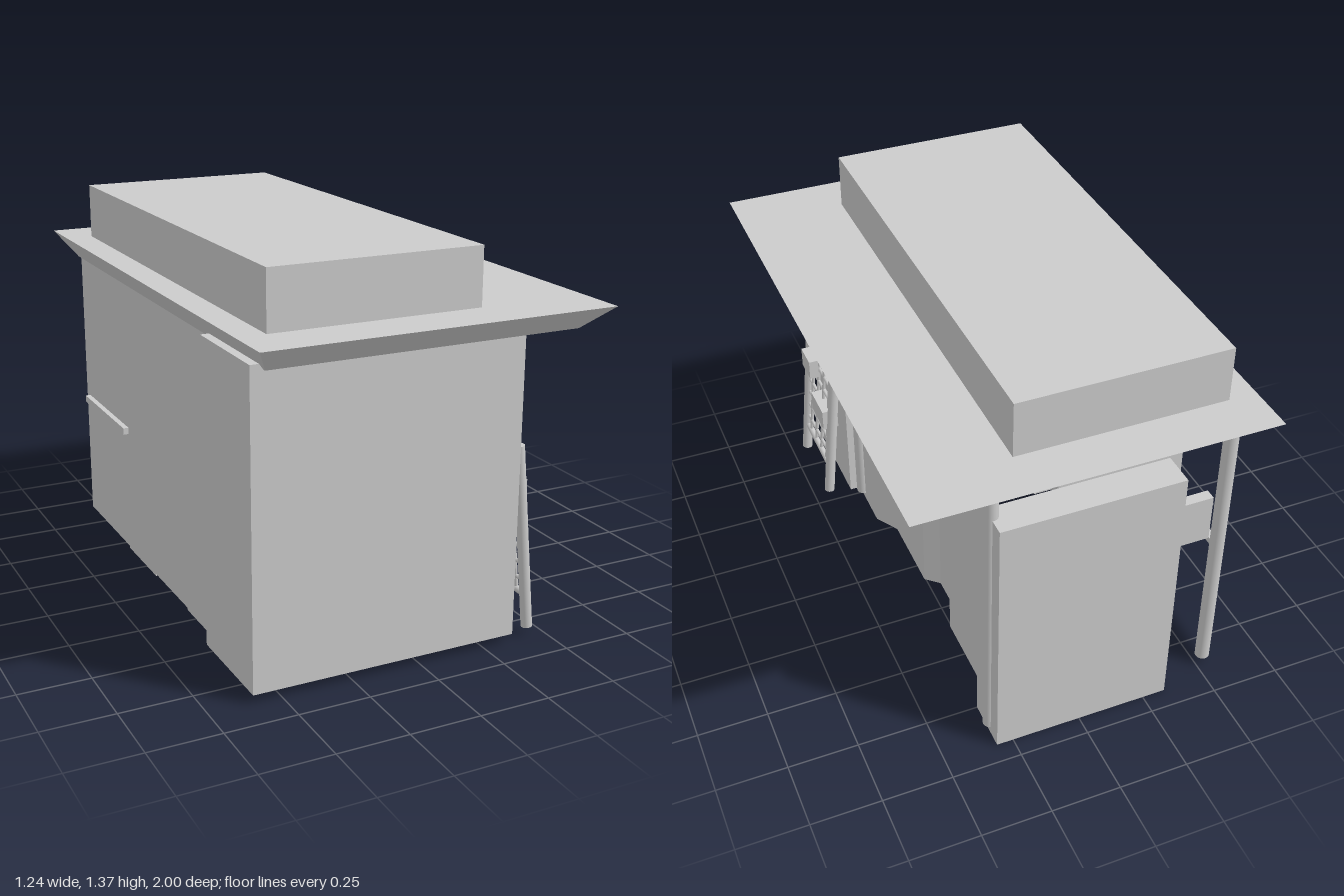
import * as THREE from 'three';

const mat = new THREE.MeshStandardMaterial({ color: 0xcccccc, flatShading: true });
const smooth = new THREE.MeshStandardMaterial({ color: 0xcccccc });

export function createModel() {
  const group = new THREE.Group();

  const add = (name, geometry, material = mat) => {
    const mesh = new THREE.Mesh(geometry, material);
    mesh.name = name;
    group.add(mesh);
    return mesh;
  };
  // Box given by its extents on each axis
  const box = (name, x0, x1, y0, y1, z0, z1) =>
    add(name, new THREE.BoxGeometry(x1 - x0, y1 - y0, z1 - z0)
      .translate((x0 + x1) / 2, (y0 + y1) / 2, (z0 + z1) / 2));
  // Round bar between two points
  const rod = (name, a, b, r, sides = 16) => {
    const from = new THREE.Vector3(...a), to = new THREE.Vector3(...b);
    const dir = to.clone().sub(from);
    const mesh = add(name, new THREE.CylinderGeometry(r, r, dir.length(), sides), smooth);
    mesh.position.copy(from).add(to).multiplyScalar(0.5);
    mesh.quaternion.setFromUnitVectors(new THREE.Vector3(0, 1, 0), dir.normalize());
    return mesh;
  };
  const outline = (points) => new THREE.Shape(points.map(p => new THREE.Vector2(...p)));

  // Roof: slab with its underside drawn in, and the box on top
  const roof = new THREE.BoxGeometry(1.24, 0.09, 2).translate(0, 1.125, 0);
  const pos = roof.attributes.position;
  for (let i = 0; i < pos.count; i++) {
    if (pos.getY(i) < 1.12) {
      pos.setX(i, Math.sign(pos.getX(i)) * 0.555);
      pos.setZ(i, Math.sign(pos.getZ(i)) * 0.89);
    }
  }
  roof.computeVertexNormals();
  add('roof', roof);
  box('roofBox', -0.52, 0.225, 1.17, 1.37, -0.825, 0.825);
  box('eavePanel', 0.39, 0.52, 1.07, 1.085, -0.83, 0.81);

  // Front block and back slab
  box('frontBlock', -0.6, 0.36, 0.03, 1.1, 0.5, 0.88);
  box('backSlab', -0.335, 0.31, 0, 0.98, -0.93, -0.81);

  // Right wall, laid out in (u = -z, y, depth = x): wall, recess, then doorway
  const arch = (u0, u1, top) => [[u0, 0], [u0, top], [u1, top], [u1, 0]];
  const recessOuter = arch(-0.32, 0.75, 0.735), recessInner = arch(-0.23, 0.66, 0.615);
  const doorOuter = arch(0.08, 0.35, 0.55), doorInner = arch(0.125, 0.305, 0.49);
  const X = [0.31, 0.255, 0.205];
  const sheet = (name, points, x) =>
    add(name, new THREE.ShapeGeometry(outline(points)).translate(0, 0, x).rotateY(Math.PI / 2));
  const splay = (name, outer, inner, xo, xi) => {
    const v = [];
    for (let i = 0; i < 3; i++) {
      const a = [...outer[i], xo], b = [...inner[i], xi];
      const c = [...inner[i + 1], xi], d = [...outer[i + 1], xo];
      v.push(...a, ...b, ...c, ...a, ...c, ...d);
    }
    const g = new THREE.BufferGeometry();
    g.setAttribute('position', new THREE.Float32BufferAttribute(v, 3));
    g.computeVertexNormals();
    add(name, g.rotateY(Math.PI / 2));
  };
  sheet('rightWall', [[-0.5, 0], ...recessOuter, [0.81, 0], [0.81, 1.06], [-0.5, 1.06]], X[0]);
  splay('recessSides', recessOuter, recessInner, X[0], X[1]);
  sheet('recessPanel', [...recessInner.slice(0, 1), ...doorOuter, ...recessInner.slice(1).reverse()], X[1]);
  splay('doorSides', doorOuter, doorInner, X[1], X[2]);
  sheet('doorPanel', doorInner, X[2]);

  // Underside of the floor, following the recess and doorway
  add('floor', new THREE.ShapeGeometry(outline([
    [-0.335, -0.93], [X[0], -0.93], [X[0], -0.75], [X[1], -0.66], [X[1], -0.35], [X[2], -0.305],
    [X[2], -0.125], [X[1], -0.08], [X[1], 0.23], [X[0], 0.32], [X[0], 0.5], [-0.335, 0.5],
  ])).rotateX(Math.PI / 2));

  // Left wall with a narrow ledge
  add('leftWall', new THREE.PlaneGeometry(1.35, 1.06).rotateY(-Math.PI / 2).translate(-0.555, 0.56, -0.175));
  box('leftLedge', -0.575, -0.55, 0.5, 0.525, -0.82, -0.36);

  // Posts and the rail under the eave
  rod('frontRightPost', [0.31, 0.03, 0.483], [0.31, 1.08, 0.483], 0.027);
  rod('backRightPost', [0.305, 0.03, -0.85], [0.305, 1.08, -0.85], 0.024);
  rod('backLeftPost', [-0.53, 0.03, -0.85], [-0.53, 1.08, -0.85], 0.026);
  rod('eaveRail', [0.31, 1.06, 0.47], [0.31, 1.06, -0.84], 0.012);

  // Boards on the right wall and in the side passage
  box('rightBoard', 0.3, 0.35, 0.86, 1.04, -0.42, 0.42);
  box('backBoard', -0.38, 0.06, 0.86, 1.03, -0.81, -0.76);
  box('passageBoard', -0.5, -0.37, 0.6, 0.78, -0.84, -0.8);
  for (const [z0, z1] of [[-0.41, -0.12], [0.2, 0.4]]) {
    box('passagePlate', -0.55, -0.335, 0.015, 0.03, z0, z1);
  }

  // Leaning rack: two rails, a wire grid and two small boxes
  const leanX = y => 0.44 - (y - 0.03) * 0.0985;
  for (const z of [0.847, 0.537]) {
    rod('rackRail', [leanX(0.03), 0.03, z], [leanX(0.695), 0.695, z], 0.02);
  }
  for (const y of [0.655, 0.15]) {
    rod('rackBar', [leanX(y), y, 0.847], [leanX(y), y, 0.537], 0.012, 10);
  }
  for (let i = 0; i < 8; i++) {
    const y = 0.2 + i * 0.0615;
    rod('rackWire', [leanX(y), y, 0.847], [leanX(y), y, 0.537], 0.007, 8);
  }
  for (let i = 0; i < 4; i++) {
    const z = 0.59 + i * 0.068;
    rod('rackUpright', [leanX(0.15), 0.15, z], [leanX(0.655), 0.655, z], 0.007, 8);
  }
  box('upperRackBox', 0.4, 0.437, 0.475, 0.555, 0.71, 0.815);
  box('lowerRackBox', 0.375, 0.437, 0.32, 0.405, 0.565, 0.715);

  return group;
}
